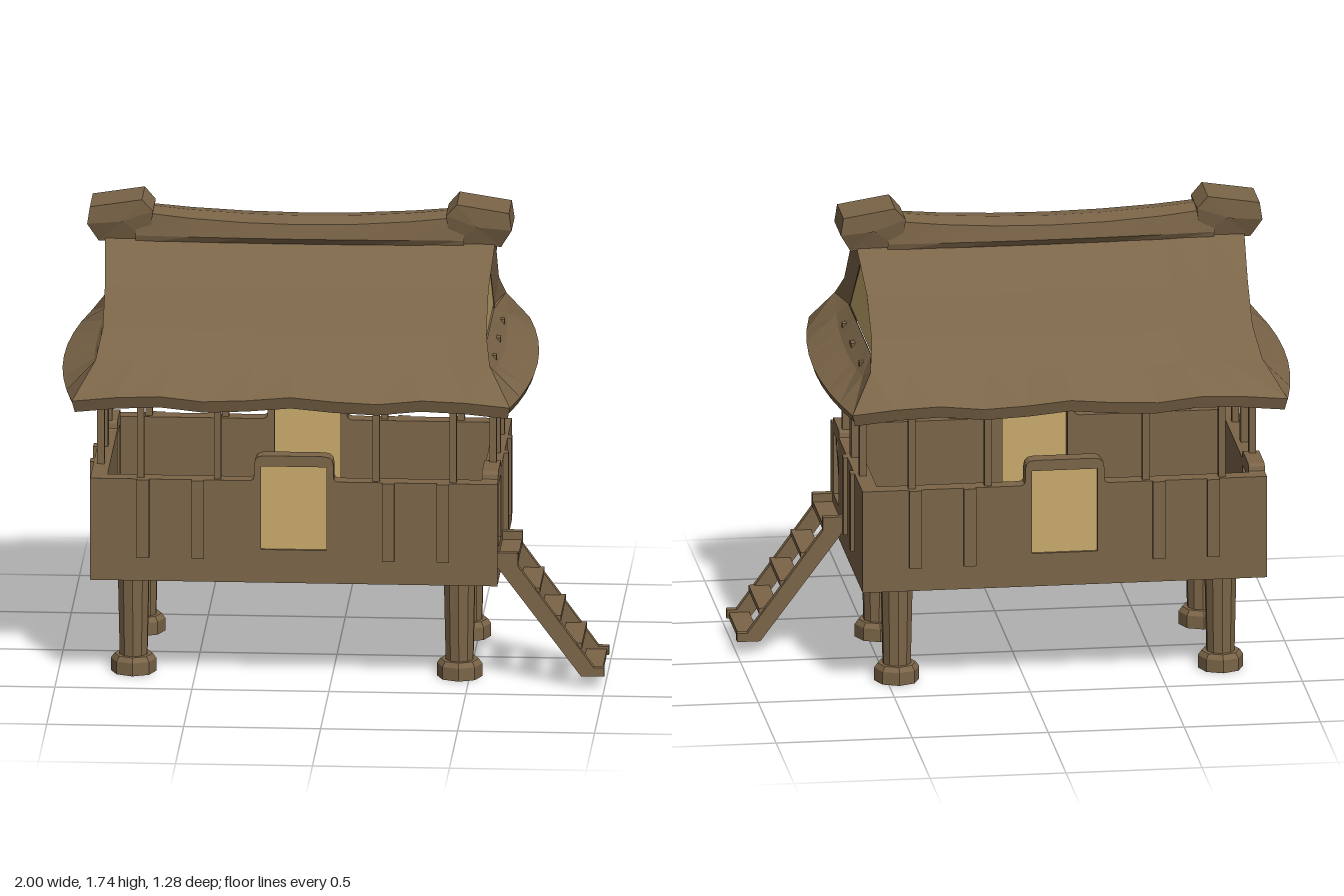
import * as THREE from 'three';

const wood = new THREE.MeshStandardMaterial({ color: 0x7b6548, flatShading: true, side: THREE.DoubleSide });
wood.name = 'brown wood and thatch';
const straw = new THREE.MeshStandardMaterial({ color: 0xc8aa6c, flatShading: true, side: THREE.DoubleSide });
straw.name = 'pale straw';

function add(parent, name, geometry, x = 0, y = 0, z = 0, material = wood) {
  const mesh = new THREE.Mesh(geometry, material);
  mesh.name = name;
  mesh.position.set(x, y, z);
  parent.add(mesh);
  return mesh;
}

const box = (w, h, d) => new THREE.BoxGeometry(w, h, d);

// Surface through rows of [x, y, z] points
function loft(rows) {
  const n = rows[0].length, index = [];
  for (let i = 0; i < rows.length - 1; i++)
    for (let j = 0; j < n - 1; j++) {
      const a = i * n + j, b = a + n;
      index.push(a, b, a + 1, b, b + 1, a + 1);
    }
  const g = new THREE.BufferGeometry();
  g.setAttribute('position', new THREE.Float32BufferAttribute(rows.flat(2), 3));
  g.setIndex(index);
  const flat = g.toNonIndexed();
  flat.computeVertexNormals();
  return flat;
}

const steps = (n) => Array.from({ length: n + 1 }, (_, i) => -1 + (2 * i) / n);

// Wall panel with a raised rounded lintel and an opening; outer face at z = 0
function wallGeometry(half, b0, b1, top, r, h0, h1, low, high) {
  const base = 0.39, rim = 0.775;
  const s = new THREE.Shape();
  s.moveTo(-half, base);
  s.lineTo(half, base);
  s.lineTo(half, rim);
  s.lineTo(b1 + r * 0.6, rim);
  s.quadraticCurveTo(b1, rim, b1, rim + r * 0.5);
  s.lineTo(b1, top - r);
  s.quadraticCurveTo(b1, top, b1 - r, top);
  s.lineTo(b0 + r, top);
  s.quadraticCurveTo(b0, top, b0, top - r);
  s.lineTo(b0, rim + r * 0.5);
  s.quadraticCurveTo(b0, rim, b0 - r * 0.6, rim);
  s.lineTo(-half, rim);
  s.closePath();
  const hole = new THREE.Path();
  hole.moveTo(h0, low);
  hole.lineTo(h0, high);
  hole.lineTo(h1, high);
  hole.lineTo(h1, low);
  hole.closePath();
  s.holes.push(hole);
  return new THREE.ExtrudeGeometry(s, { depth: 0.06, bevelEnabled: false, curveSegments: 3 }).translate(0, 0, -0.06);
}

// One long wall and one short wall with their battens, posts and legs
function houseHalf() {
  const half = new THREE.Group();
  add(half, 'longWall', wallGeometry(0.743, -0.145, 0.145, 0.87, 0.035, -0.12, 0.12, 0.515, 0.83), 0, 0, 0.447);
  add(half, 'windowScreen', box(0.25, 0.325, 0.008), 0, 0.6725, 0.432, straw);

  const side = new THREE.Group();
  side.name = 'shortSide';
  side.rotation.y = Math.PI / 2;
  half.add(side);
  add(side, 'shortWall', wallGeometry(0.44, -0.39, -0.21, 0.805, 0.02, -0.373, -0.223, 0.515, 0.75), 0, 0, 0.743);
  const brace = add(side, 'openingBrace', box(0.02, 0.265, 0.03), -0.298, 0.632, 0.72);
  brace.rotation.z = 0.53;

  for (const x of [-0.55, -0.35, 0.345, 0.545])
    add(half, 'batten', box(0.045, 0.295, 0.03), x, 0.6275, 0.447);
  for (const u of [0, 0.2])
    add(side, 'batten', box(0.045, 0.295, 0.03), u, 0.6275, 0.743);

  for (const x of [-0.56, -0.28, 0.3, 0.58])
    add(half, 'roofPost', box(0.026, 0.56, 0.026), x, 0.97, 0.418);
  for (const u of [-0.24, 0, 0.24])
    add(side, 'roofPost', box(u ? 0.026 : 0.045, 0.52, 0.026), u, 0.95, 0.716);

  for (const x of [-0.595, 0.595]) {
    add(half, 'leg', new THREE.CylinderGeometry(0.06, 0.052, 0.36, 10), x, 0.22, 0.27);
    add(half, 'legFoot', new THREE.CylinderGeometry(0.083, 0.083, 0.048, 8), x, 0.024, 0.27);
    add(half, 'legFootCollar', new THREE.CylinderGeometry(0.07, 0.083, 0.018, 8), x, 0.057, 0.27);
  }
  return half;
}

// Hollow thatched roof with gables and flared end skirts
function buildRoof() {
  const roof = new THREE.Group();
  roof.name = 'roof';
  // outer and inner profiles: z, y, half length
  const outer = [[0, 1.62, 0.71], [0.065, 1.578, 0.712], [0.25, 1.46, 0.7], [0.385, 1.33, 0.7], [0.5, 1.24, 0.72], [0.64, 1.15, 0.8]];
  const inner = [[0, 1.525, 0.685], [0.05, 1.49, 0.685], [0.2, 1.36, 0.685], [0.345, 1.235, 0.685], [0.48, 1.17, 0.7], [0.625, 1.105, 0.79]];
  const row = ([z, y, len], i, sz) => steps(10).map((t) => {
    const e = i === 5 ? t ** 4 : 0;
    const sag = i < 2 ? 0 : -0.012 * (1 - t * t);
    const wave = i === 5 ? 0.012 * Math.cos(t * 9) : 0;
    return [t * len, y + sag + wave * (1 - e) - 0.035 * e, sz * (z - 0.03 * e)];
  });
  for (const sz of [1, -1]) {
    const top = outer.map((p, i) => row(p, i, sz));
    const under = inner.map((p, i) => row(p, i, sz));
    add(roof, 'thatchSlope', loft([...top, ...under.reverse()]));
    under.reverse();
    for (const k of [0, 10])
      add(roof, 'gableBorder', loft([top.map((r) => r[k]), under.map((r) => r[k])]));
  }

  for (const sx of [1, -1]) {
    // skirt below each gable, curving out to the eave and back underneath
    const line = (f) => steps(8).map((t) => { const [x, y, z] = f(t); return [sx * x, y, z]; });
    add(roof, 'endSkirt', loft([
      line((t) => [0.688, 1.24, t * 0.36]),
      line((t) => [0.745 - 0.025 * t * t, 1.175 + 0.065 * t ** 4, t * 0.5]),
      line((t) => [0.865 - 0.065 * t * t, 1.115, t * 0.612]),
      line((t) => [0.855 - 0.065 * t * t, 1.086, t * 0.6]),
      line((t) => [0.73 - 0.03 * t * t, 1.14 + 0.03 * t ** 4, t * 0.48]),
      line((t) => [0.68, 1.225, t * 0.35]),
    ]));
    const tri = new THREE.Shape([new THREE.Vector2(-0.345, 1.237), new THREE.Vector2(0.345, 1.237), new THREE.Vector2(0, 1.525)]);
    const gable = add(roof, 'gableScreen', new THREE.ShapeGeometry(tri), sx * 0.683, 0, 0, straw);
    gable.rotation.y = sx * Math.PI / 2;

    // block capping each end of the ridge: x, y, half width
    const cap = [[0.775, 1.64, 0.09], [0.765, 1.705, 0.09], [0.575, 1.735, 0.09], [0.535, 1.69, 0.085], [0.55, 1.575, 0.06], [0.735, 1.57, 0.06]];
    const loop = [...cap, cap[0]];
    const at = (w) => loop.map(([x, y, d]) => [sx * x, y, d * w]);
    const hub = loop.map(() => [sx * 0.65, 1.65, 0]);
    hub.forEach((p, i) => { p[2] = (loop[i][2] > 0.07 ? 0.09 : 0.085); });
    const back = hub.map(([x, y, z]) => [x, y, -z]);
    add(roof, 'ridgeCap', loft([hub, at(1), at(-1), back]));
  }

  // sagging ridge roll
  add(roof, 'ridgeRoll', loft(steps(6).map((t) => {
    const x = t * 0.6, top = 1.66 + 0.035 * t * t, w = 0.092 - 0.017 * t * t;
    return [[-0.065, 1.56], [-w, 1.595], [-w * 0.9, top - 0.012], [0, top], [w * 0.9, top - 0.012], [w, 1.595], [0.065, 1.56], [-0.065, 1.56]]
      .map(([z, y]) => [x, y, z]);
  })));
  return roof;
}

// Stepped ladder leaning on the short wall
function buildLadder() {
  const ladder = new THREE.Group();
  ladder.name = 'ladder';
  const rail = new THREE.Shape([[0.61, 0.51], [0.685, 0.51], [0.685, 0.46], [0.962, 0.08], [1, 0.08], [1, 0.048], [0.915, 0.048], [0.61, 0.455]]
    .map(([x, y]) => new THREE.Vector2(x, y)));
  for (const z of [0.09, 0.382])
    add(ladder, 'ladderRail', new THREE.ExtrudeGeometry(rail, { depth: 0.028, bevelEnabled: false }), 0, 0, z);
  add(ladder, 'ladderLanding', box(0.075, 0.022, 0.29), 0.645, 0.468, 0.25);
  for (let i = 0; i < 3; i++)
    add(ladder, 'ladderTread', box(0.075, 0.02, 0.29), 0.727 + i * 0.077, 0.365 - i * 0.103, 0.25);
  add(ladder, 'ladderTread', box(0.075, 0.02, 0.29), 0.955, 0.06, 0.25);
  return ladder;
}

export function createModel() {
  const model = new THREE.Group();
  model.name = 'stiltHut';
  const house = new THREE.Group();
  house.name = 'house';
  house.position.set(-0.132, 0, -0.013);
  model.add(house);
  add(house, 'floor', box(1.47, 0.07, 0.88), 0, 0.426, 0);
  // the second half is the first turned around
  for (let k = 0; k < 2; k++) {
    const half = houseHalf();
    half.name = k ? 'backHalf' : 'frontHalf';
    half.rotation.y = k * Math.PI;
    house.add(half);
  }
  const roof = buildRoof();
  roof.position.x = -0.132;
  model.add(roof, buildLadder());
  return model;
}
